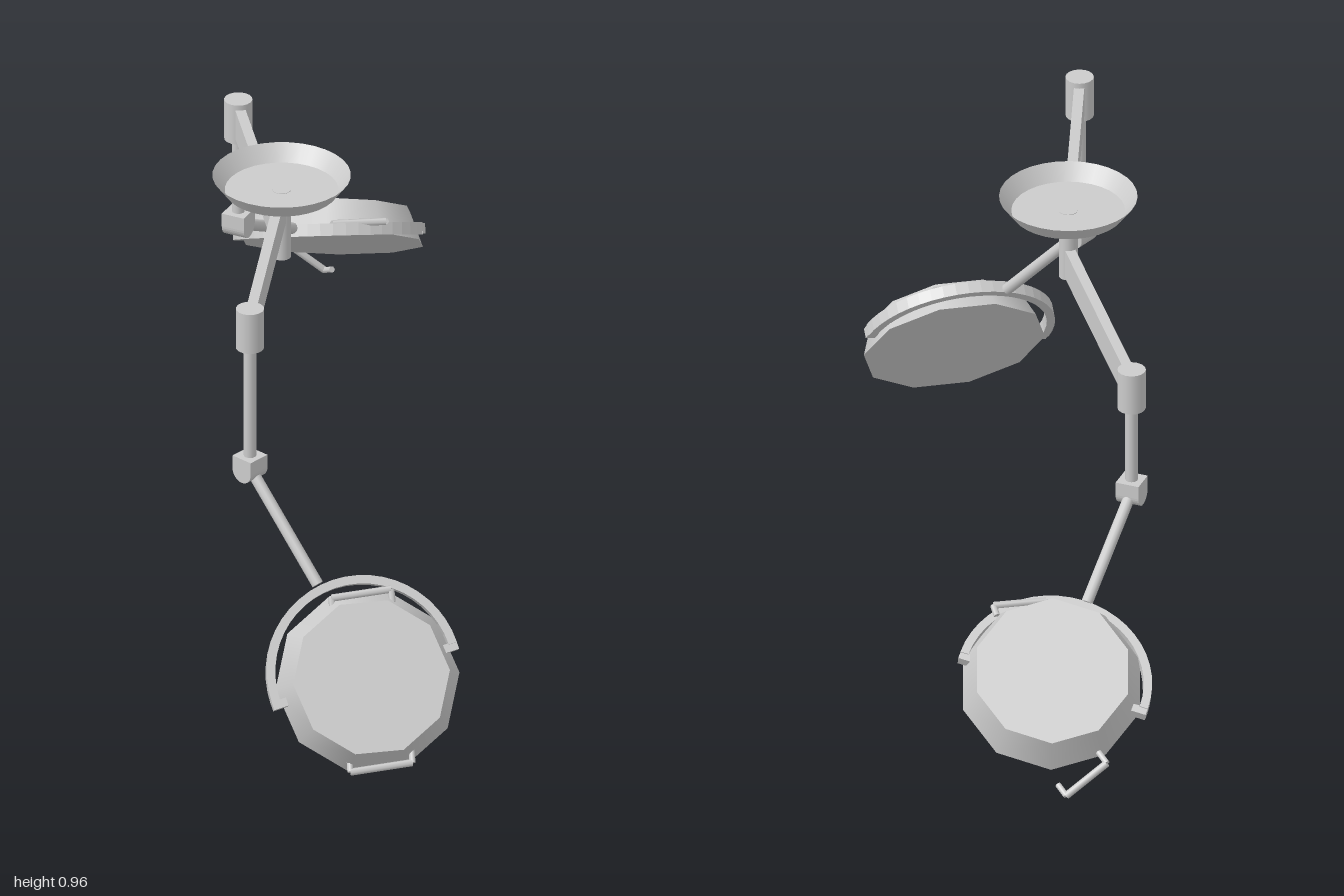
import * as THREE from 'three';

const V = (p) => new THREE.Vector3(...p);
const grey = new THREE.MeshStandardMaterial({ color: 0xcccccc });
const greyOpen = new THREE.MeshStandardMaterial({ color: 0xcccccc, side: THREE.DoubleSide });

function add(parent, name, geometry, position = [0, 0, 0], material = grey) {
  const mesh = new THREE.Mesh(geometry, material);
  mesh.name = name;
  mesh.position.set(...position);
  parent.add(mesh);
  return mesh;
}

// Turn an object so its local x follows xDir and its local y lies close to yDir
function orient(object, xDir, yDir) {
  const x = V(xDir).normalize();
  const z = x.clone().cross(V(yDir)).normalize();
  const y = z.clone().cross(x);
  object.quaternion.setFromRotationMatrix(new THREE.Matrix4().makeBasis(x, y, z));
  return object;
}

// Round rod between two points
function rod(parent, name, a, b, radius, sides = 12) {
  const from = V(a), to = V(b), dir = to.clone().sub(from);
  const mid = from.add(to).multiplyScalar(0.5);
  const mesh = add(parent, name, new THREE.CylinderGeometry(radius, radius, dir.length(), sides), mid.toArray());
  mesh.quaternion.setFromUnitVectors(new THREE.Vector3(0, 1, 0), dir.normalize());
  return mesh;
}

// Elbow block: square top, round bottom
function knuckleGeometry() {
  const r = 0.026, depth = 0.052;
  const s = new THREE.Shape();
  s.moveTo(r, 0.03);
  s.lineTo(-r, 0.03);
  s.lineTo(-r, 0);
  s.absarc(0, 0, r, Math.PI, Math.PI * 2, false);
  return new THREE.ExtrudeGeometry(s, { depth, bevelEnabled: false, curveSegments: 8 }).translate(0, 0, -depth / 2);
}

// Half ring that carries the lamp head
function yokeGeometry(R) {
  const depth = 0.026, s = new THREE.Shape();
  s.absarc(0, 0, R + 0.009, 0, Math.PI, false);
  s.absarc(0, 0, R - 0.009, Math.PI, 0, true);
  return new THREE.ExtrudeGeometry(s, { depth, bevelEnabled: false, curveSegments: 12 }).translate(0, 0, -depth / 2);
}

// U-shaped grip: a bar with a short post at each end
function addHandle(parent, { from, to, post }) {
  const handle = new THREE.Group();
  handle.name = 'handle';
  rod(handle, 'handleBar', from, to, 0.008, 6);
  for (const p of [from, to]) rod(handle, 'handlePost', p, p.map((c, i) => c + post[i]), 0.007, 6);
  parent.add(handle);
}

function createArm(cfg) {
  const arm = new THREE.Group();
  arm.name = cfg.name;
  const [hx, hz] = cfg.hinge, [px, pz] = cfg.post;

  // Horizontal beam, hinge sleeve and drop rod
  const dx = hx - px, dz = hz - pz, length = Math.hypot(dx, dz);
  const beam = add(arm, 'beam', new THREE.BoxGeometry(length, 0.067, 0.022),
    [(hx + px) / 2, cfg.beamY, (hz + pz) / 2]);
  orient(beam, [dx, 0, dz], [0, 1, 0]);
  add(arm, 'hingeSleeve', new THREE.CylinderGeometry(0.03, 0.03, 0.093, 16), [hx, cfg.sleeveY, hz]);
  rod(arm, 'dropRod', [hx, cfg.sleeveY, hz], [hx, 0.575, hz], 0.0135);

  // Elbow and slanted rod
  const elbow = [hx, 0.56, hz];
  const slope = cfg.rodEnd.map((c, i) => c - elbow[i]);
  orient(add(arm, 'knuckle', knuckleGeometry(), elbow), [slope[0], 0, slope[2]], [0, 1, 0]);
  rod(arm, 'slantedRod', elbow, cfg.rodEnd, 0.0125);

  // Yoke with a pivot pin at each end
  const R = 0.198;
  const yoke = new THREE.Group();
  yoke.name = 'yoke';
  yoke.position.set(...cfg.yokeCentre);
  orient(yoke, cfg.pivotAxis, cfg.yokeUp);
  add(yoke, 'yokeRing', yokeGeometry(R));
  for (const side of [-1, 1]) {
    add(yoke, 'pivotPin', new THREE.BoxGeometry(0.032, 0.018, 0.022), [side * (R - 0.007), -0.006, 0]);
  }
  arm.add(yoke);

  // Ten-sided lamp head, wide face towards the light
  const head = new THREE.Group();
  head.name = 'lampHead';
  head.position.set(...cfg.faceCentre);
  orient(head, cfg.gripAxis, cfg.normal);
  add(head, 'lampShell', new THREE.CylinderGeometry(0.167, 0.196, 0.072, 10, 1, false, Math.PI / 10), [0, 0.036, 0]);
  arm.add(head);
  cfg.handles.forEach((h) => addHandle(arm, h));
  return arm;
}

export function createModel() {
  const model = new THREE.Group();
  model.name = 'ceilingLamp';
  const post = [-0.13, 0.11];

  // Open ceiling dish and central post
  const dish = new THREE.LatheGeometry(
    [[0, 0.933], [0.12, 0.933], [0.12, 0.933], [0.146, 0.968]].map((p) => new THREE.Vector2(...p)), 32);
  add(model, 'ceilingDish', dish, [post[0], 0, post[1]], greyOpen);
  rod(model, 'centralPost', [post[0], 0.774, post[1]], [post[0], 0.934, post[1]], 0.02, 16);

  model.add(createArm({
    name: 'frontArm', post, hinge: [-0.142, 0.655], beamY: 0.895, sleeveY: 0.894,
    rodEnd: [0.013, 0.352, 0.772],
    yokeCentre: [0.12, 0.195, 0.865], pivotAxis: [0.907, 0.208, -0.368], yokeUp: [-0.372, 0.8, -0.466],
    faceCentre: [0.126, 0.168, 0.848], normal: [0.2, 0.56, 0.8], gripAxis: [0.966, 0.02, -0.256],
    handles: [
      { from: [0.045, 0.336, 0.8], to: [0.168, 0.348, 0.77], post: [0.004, -0.022, 0.014] },
      { from: [0.104, 0.024, 0.988], to: [0.232, 0.036, 0.955], post: [-0.004, 0.022, -0.02] },
    ],
  }));

  model.add(createArm({
    name: 'backArm', post, hinge: [-0.275, -0.42], beamY: 0.812, sleeveY: 0.811,
    rodEnd: [-0.185, 0.425, -0.66],
    yokeCentre: [-0.12, 0.33, -0.83], pivotAxis: [0.955, 0.2, 0.21], yokeUp: [-0.311, 0.44, 0.842],
    faceCentre: [-0.115, 0.315, -0.81], normal: [-0.04, 0.81, -0.585], gripAxis: [-0.944, 0.157, 0.281],
    handles: [
      { from: [-0.235, 0.222, -0.976], to: [-0.15, 0.15, -0.99], post: [0.018, 0.014, 0.022] },
      { from: [-0.1, 0.436, -0.668], to: [0.01, 0.436, -0.69], post: [-0.008, -0.012, -0.022] },
    ],
  }));
  return model;
}
